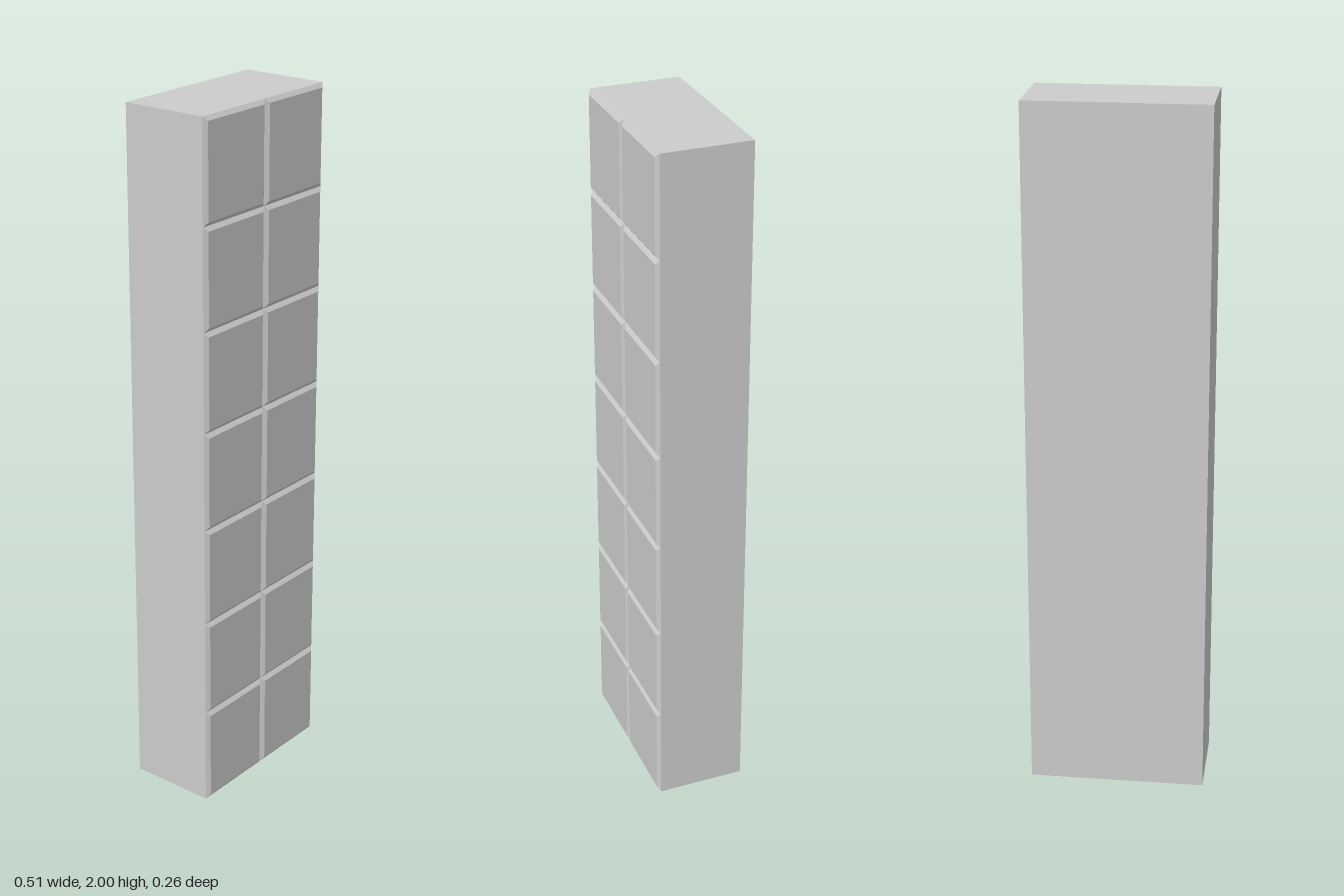
import * as THREE from 'three';

const WIDTH = 0.506, HEIGHT = 2, BACK = -0.131, WALL_FRONT = 0.122, FRONT = 0.131;
const ROWS = 7, COLUMNS = 2, BEVEL = 0.012;

// Box whose front face is drawn in on all four sides, giving a bevelled panel
function bevelledPanel(w, h, d, inset) {
  const geometry = new THREE.BoxGeometry(w, h, d);
  const p = geometry.attributes.position;
  for (let i = 0; i < p.count; i++) {
    if (p.getZ(i) > 0) {
      p.setX(i, p.getX(i) - Math.sign(p.getX(i)) * inset);
      p.setY(i, p.getY(i) - Math.sign(p.getY(i)) * inset);
    }
  }
  geometry.computeVertexNormals();
  return geometry;
}

export function createModel() {
  const model = new THREE.Group();
  model.name = 'panelledTower';
  const material = new THREE.MeshStandardMaterial({ color: 0xcccccc, flatShading: true });

  // Plain block behind the panels
  const depth = WALL_FRONT - BACK;
  const body = new THREE.Mesh(new THREE.BoxGeometry(WIDTH, HEIGHT, depth), material);
  body.name = 'body';
  body.position.set(0, HEIGHT / 2, BACK + depth / 2);
  model.add(body);

  // Grid of bevelled panels; neighbouring bevels form the V grooves
  const panels = new THREE.Group();
  panels.name = 'frontPanels';
  const w = WIDTH / COLUMNS, h = HEIGHT / ROWS;
  const geometry = bevelledPanel(w, h, FRONT - WALL_FRONT, BEVEL);
  for (let row = 0; row < ROWS; row++) {
    for (let column = 0; column < COLUMNS; column++) {
      const panel = new THREE.Mesh(geometry, material);
      panel.name = `panelRow${row + 1}Column${column + 1}`;
      panel.position.set((column + 0.5) * w - WIDTH / 2, (row + 0.5) * h, (FRONT + WALL_FRONT) / 2);
      panels.add(panel);
    }
  }
  model.add(panels);
  return model;
}
